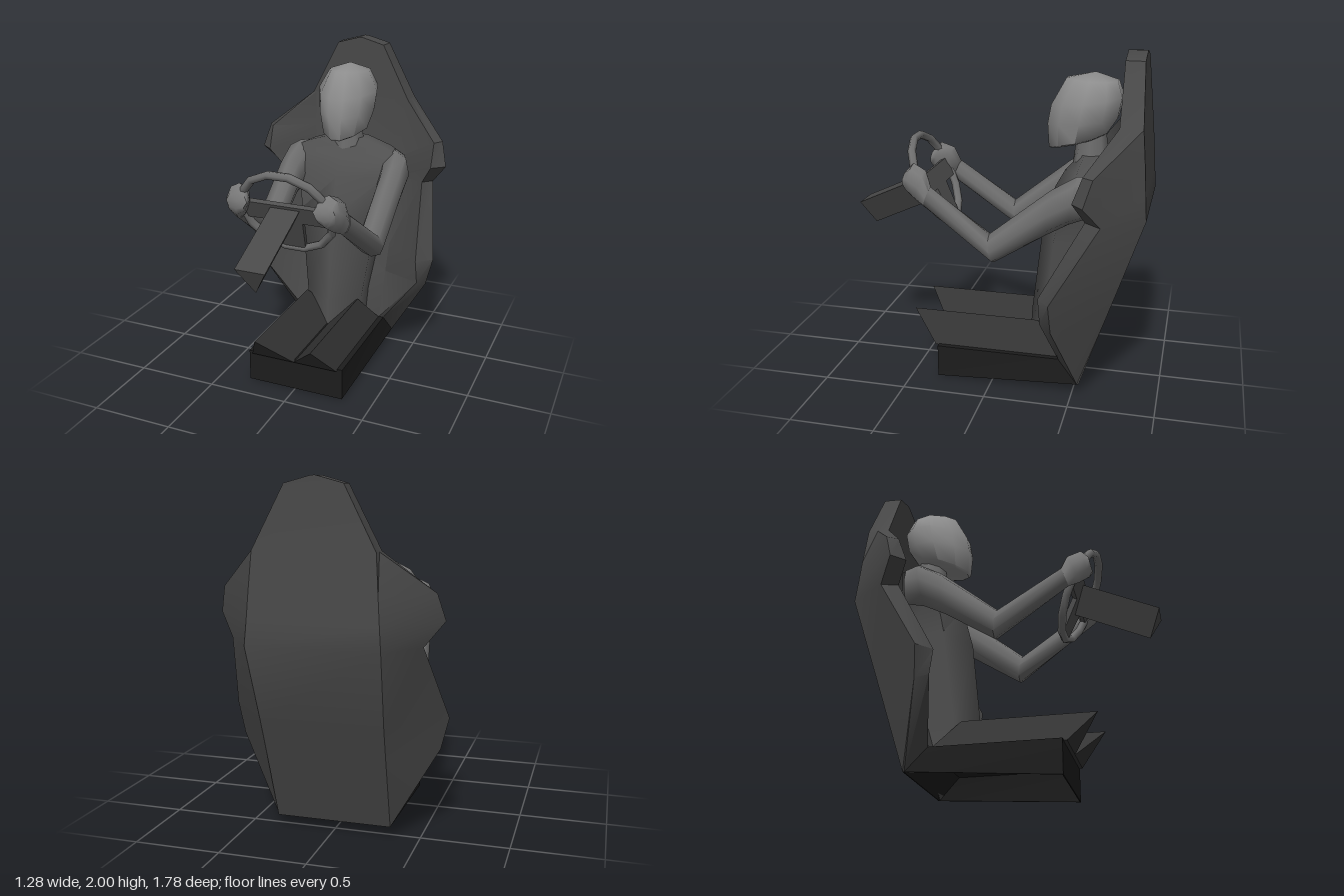
import * as THREE from 'three';
import { toCreasedNormals } from 'three/addons/utils/BufferGeometryUtils.js';

// Grey tones, from the dark seat up to the light helmet
const tones = {
  cushion: 0x1c1c1c, thigh: 0x343434, shell: 0x484848, torso: 0x505050, column: 0x484848,
  spokes: 0x505050, rim: 0x707070, arm: 0x6c6c6c, hand: 0x787878, neck: 0x6c6c6c, helmet: 0x8c8c8c,
};

function mesh(name, tone, geometry) {
  const m = new THREE.Mesh(geometry, new THREE.MeshStandardMaterial({ color: tones[tone] }));
  m.name = name;
  return m;
}

// Skin closed rings of [x, y, z] points, cap both ends, face outwards
function loft(name, tone, rings, crease = 0.6) {
  const n = rings[0].length;
  const pts = rings.flat();
  const faces = [];
  for (let r = 0; r < rings.length - 1; r++) {
    for (let i = 0; i < n; i++) {
      const a = r * n + i, b = r * n + (i + 1) % n;
      faces.push([a, b, b + n], [a, b + n, a + n]);
    }
  }
  [0, rings.length - 1].forEach((r) => {
    const mid = [0, 1, 2].map((k) => rings[r].reduce((s, p) => s + p[k], 0) / n);
    const c = pts.push(mid) - 1;
    for (let i = 0; i < n; i++) {
      const a = r * n + i, b = r * n + (i + 1) % n;
      faces.push(r ? [c, a, b] : [c, b, a]);
    }
  });
  const v = pts.map((p) => new THREE.Vector3(...p));
  let volume = 0;
  for (const [a, b, c] of faces) volume += v[a].dot(v[b].clone().cross(v[c]));
  if (volume < 0) faces.forEach((f) => f.reverse());
  const geo = new THREE.BufferGeometry().setFromPoints(v);
  geo.setIndex(faces.flat());
  return mesh(name, tone, toCreasedNormals(geo, crease));
}

// Oval ring: top and bottom are [y, z], x0..x1 its width, taper narrows the top side
function oval([ty, tz], [by, bz], x0, x1, sides = 8, taper = 0) {
  return Array.from({ length: sides }, (_, i) => {
    const t = (i / sides) * Math.PI * 2, s = Math.sin(t);
    const c = Math.cos(t) * (1 - taper * Math.max(s, 0));
    return [
      (x0 + x1) / 2 + (c * (x1 - x0)) / 2,
      (ty + by) / 2 + (s * (ty - by)) / 2,
      (tz + bz) / 2 + (s * (tz - bz)) / 2,
    ];
  });
}

// Bucket seat shell: half section is back, outer rim, inner rim, inside
function seatShell() {
  const rows = [
    [[0.335, 0.06, -0.54], [0.335, 0.06, -0.53], [0.31, 0.2, -0.41], [0.28, 0.2, -0.41]],
    [[0.345, 0.5, -0.685], [0.59, 0.5, -0.41], [0.55, 0.53, -0.34], [0.285, 0.5, -0.5]],
    [[0.35, 0.68, -0.745], [0.635, 0.68, -0.4], [0.54, 0.68, -0.325], [0.29, 0.68, -0.55]],
    [[0.37, 1.12, -0.89], [0.54, 1.12, -0.66], [0.49, 1.13, -0.57], [0.3, 1.12, -0.67]],
    [[0.36, 1.25, -0.88], [0.64, 1.25, -0.575], [0.56, 1.25, -0.505], [0.3, 1.25, -0.69]],
    [[0.35, 1.4, -0.87], [0.6, 1.4, -0.62], [0.56, 1.4, -0.56], [0.305, 1.4, -0.71]],
    [[0.335, 1.62, -0.85], [0.335, 1.62, -0.79], [0.33, 1.62, -0.72], [0.31, 1.62, -0.72]],
    [[0.16, 1.96, -0.83], [0.16, 1.96, -0.79], [0.155, 1.96, -0.72], [0.14, 1.96, -0.72]],
    [[0.01, 2, -0.83], [0.01, 2, -0.79], [0.01, 2, -0.72], [0.005, 2, -0.72]],
  ];
  return loft('seatShell', 'shell', rows.map((half) => [
    ...half.map(([x, y, z]) => [-x, y, z]),
    ...[...half].reverse(),
  ]), 0.6);
}

// Seat base, hollow and open underneath
function seatCushion() {
  const top = (y, d) => [[-0.31 + d, y, 0.34 - d], [0.31 - d, y, 0.34 - d],
    [0.31 - d, y, -0.41 + d], [-0.31 + d, y, -0.41 + d]];
  const bottom = (d) => [[-0.31 + d, 0, 0.34 - d], [0.31 - d, 0, 0.34 - d],
    [0.335 - d, 0.06, -0.54 + d], [-0.335 + d, 0.06, -0.54 + d]];
  return loft('seatCushion', 'cushion', [top(0.19, 0.006), bottom(0.006), bottom(0), top(0.2, 0)]);
}

function steeringWheel() {
  const wheel = new THREE.Group();
  wheel.name = 'steeringWheel';
  wheel.position.set(0, 1.19, 0.425);
  wheel.rotation.x = 0.427;
  wheel.add(mesh('wheelRim', 'rim', new THREE.TorusGeometry(0.278, 0.025, 6, 14)));

  // Crossbar with a tapering stem to the lower rim
  const plate = new THREE.Shape([
    [-0.27, 0.06], [-0.27, -0.06], [-0.09, -0.06], [-0.07, -0.28],
    [0.07, -0.28], [0.09, -0.06], [0.27, -0.06], [0.27, 0.06],
  ].map((p) => new THREE.Vector2(...p)));
  const spokes = new THREE.ExtrudeGeometry(plate, { depth: 0.03, bevelEnabled: false });
  wheel.add(mesh('spokes', 'spokes', spokes.translate(0, 0, -0.015)));

  const wedge = (z) => [[-0.09, 0.04, z], [0.09, 0.04, z], [0, -0.125, z]];
  wheel.add(loft('steeringColumn', 'column', [wedge(0), wedge(0.498)]));
  return wheel;
}

function driver() {
  const body = new THREE.Group();
  body.name = 'driver';

  // Torso rows: y, half width, front z, side z, back z; the shoulders are widest
  body.add(loft('torso', 'torso', [
    [0.19, 0.19, -0.18, -0.3, -0.46],
    [0.38, 0.19, -0.19, -0.3, -0.5],
    [0.92, 0.26, -0.25, -0.36, -0.62],
    [1.18, 0.29, -0.32, -0.41, -0.63],
    [1.29, 0.38, -0.38, -0.48, -0.6],
    [1.345, 0.28, -0.43, -0.49, -0.6],
    [1.4, 0.11, -0.45, -0.5, -0.6],
  ].map(([y, w, f, m, b]) => [
    [0, y, f], [w, y, m], [w * 0.94, y, b], [-w * 0.94, y, b], [-w, y, m],
  ]), 1.3));

  const neck = new THREE.CylinderGeometry(0.085, 0.11, 0.2, 8);
  body.add(mesh('neck', 'neck', neck.translate(0, 1.42, -0.53)));

  // Helmet rows: half width, front [y, z], back [y, z]
  body.add(loft('helmet', 'helmet', [
    [0.12, [1.42, -0.285], [1.51, -0.6]],
    [0.15, [1.43, -0.275], [1.53, -0.63]],
    [0.185, [1.57, -0.265], [1.62, -0.69]],
    [0.195, [1.68, -0.285], [1.74, -0.712]],
    [0.13, [1.835, -0.37], [1.825, -0.68]],
    [0.01, [1.87, -0.53], [1.87, -0.55]],
  ].map(([w, front, back]) => oval(front, back, -w, w, 10, 0.25)), 1));

  for (const side of [1, -1]) {
    const mirrored = (rings) => rings.map((r) => r.map(([x, y, z]) => [x * side, y, z]));
    const label = side > 0 ? 'left' : 'right';

    // Triangular thigh with slanted ends
    body.add(loft(label + 'Thigh', 'thigh', mirrored([
      [[0, 0.195, 0.36], [0.28, 0.195, 0.36], [0.18, 0.38, 0.52]],
      [[0, 0.195, -0.41], [0.28, 0.195, -0.41], [0.18, 0.38, -0.26]],
    ])));

    // Shoulder, elbow and wrist
    body.add(loft(label + 'Arm', 'arm', mirrored([
      oval([1.33, -0.58], [1.1, -0.58], 0.22, 0.385),
      oval([1.34, -0.5], [1.06, -0.46], 0.23, 0.43),
      oval([1.26, -0.36], [0.99, -0.33], 0.26, 0.43),
      oval([0.97, 0], [0.8, -0.03], 0.26, 0.43),
      oval([1.22, 0.355], [1.1, 0.4], 0.275, 0.365),
    ]), 1));

    // Fist closed around the rim
    body.add(loft(label + 'Hand', 'hand', mirrored([
      oval([1.21, 0.35], [1.1, 0.4], 0.28, 0.36),
      oval([1.31, 0.39], [1.13, 0.46], 0.23, 0.36),
      oval([1.345, 0.47], [1.17, 0.515], 0.2, 0.345),
      oval([1.3, 0.515], [1.21, 0.535], 0.2, 0.33),
    ]), 1));
  }
  return body;
}

export function createModel() {
  const model = new THREE.Group();
  model.name = 'seatedDriver';
  model.add(seatCushion(), seatShell(), driver(), steeringWheel());
  return model;
}
